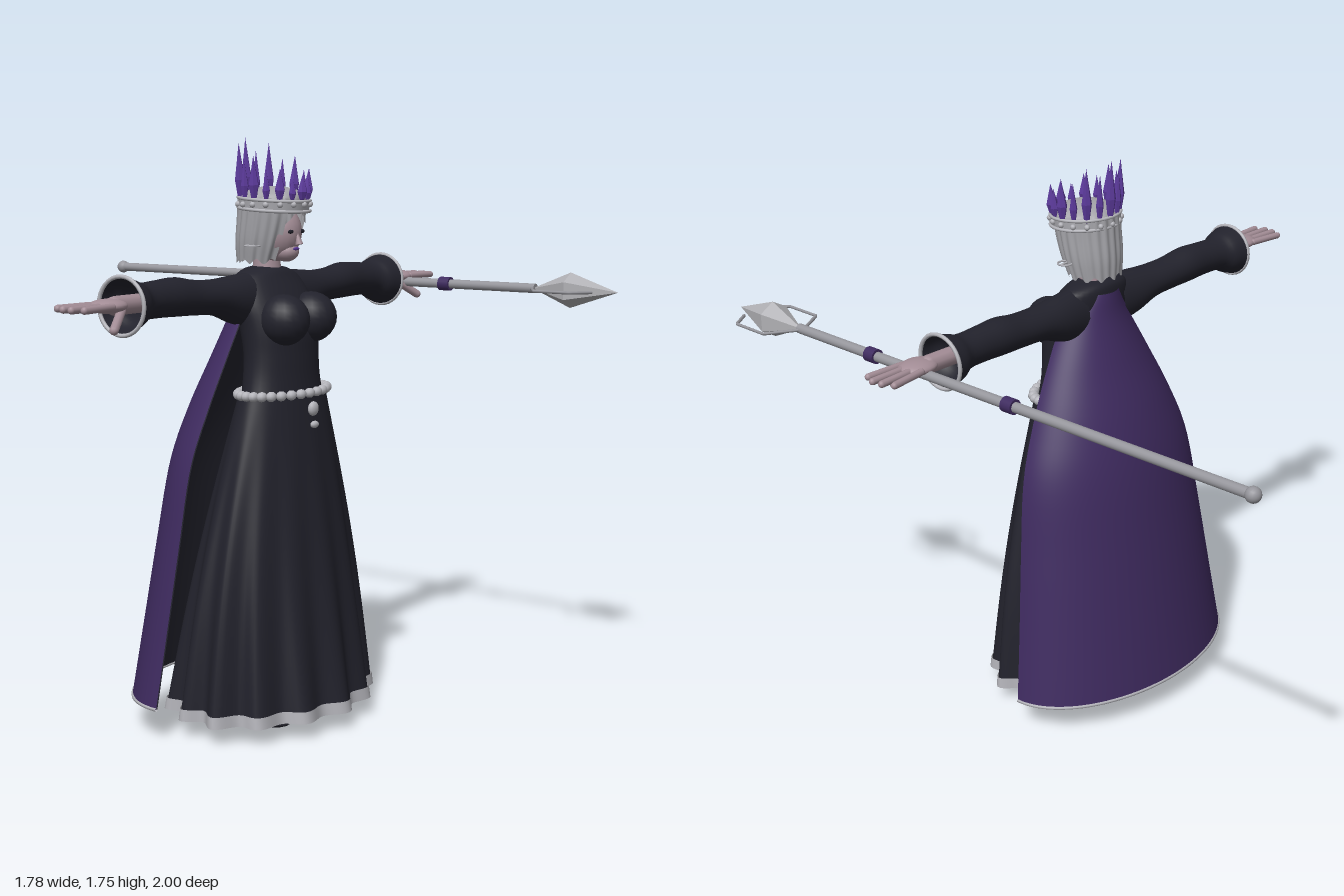
import * as THREE from 'three';

const mat = (name, color, extra = {}) => {
  const m = new THREE.MeshStandardMaterial({ color, ...extra });
  m.name = name;
  return m;
};

// Grid surface from a rule p(u, v) -> [x, y, z]; u runs around, v along
function surface(p, nu, nv, closed) {
  const pos = [], idx = [], cols = closed ? nu : nu + 1;
  for (let j = 0; j <= nv; j++)
    for (let i = 0; i < cols; i++) pos.push(...p(i / nu, j / nv));
  for (let j = 0; j < nv; j++)
    for (let i = 0; i < nu; i++) {
      const a = j * cols + i, b = j * cols + (i + 1) % cols;
      idx.push(a, a + cols, b, b, a + cols, b + cols);
    }
  const g = new THREE.BufferGeometry();
  g.setAttribute('position', new THREE.Float32BufferAttribute(pos, 3));
  g.setIndex(idx);
  g.computeVertexNormals();
  return g;
}

// Smooth interpolation through rows of numbers, v in 0..1
function rows(table) {
  return v => {
    const f = v * (table.length - 1), i = Math.min(Math.floor(f), table.length - 2), t = f - i;
    return table[i].map((p1, k) => {
      const p2 = table[i + 1][k];
      const p0 = i > 0 ? table[i - 1][k] : 2 * p1 - p2;
      const p3 = i + 2 < table.length ? table[i + 2][k] : 2 * p2 - p1;
      return p1 + 0.5 * t * (p2 - p0 + t * (2 * p0 - 5 * p1 + 4 * p2 - p3 + t * (3 * (p1 - p2) + p3 - p0)));
    });
  };
}

export function createModel() {
  const root = new THREE.Group();
  root.name = 'queenWithStaff';
  const D = { side: THREE.DoubleSide };
  const black = mat('dress black', 0x22222c, D);
  const purple = mat('cape purple', 0x3f2b60, D);
  const silver = mat('silver', 0xb4b4ba, D);
  const hairMat = mat('hair grey', 0xa3a3a8, D);
  const skin = mat('skin', 0xa38d96);
  const steel = mat('staff steel', 0x96969c);
  const crystal = mat('crystal violet', 0x5c3a9c, { flatShading: true });
  const gemMat = mat('gem grey', 0xb0b0b4, { flatShading: true });

  const add = (name, geo, m, x = 0, y = 0, z = 0, parent = root) => {
    const mesh = new THREE.Mesh(geo, m);
    mesh.name = name;
    mesh.position.set(x, y, z);
    parent.add(mesh);
    return mesh;
  };
  const ball = (name, m, x, y, z, rx, ry = rx, rz = rx, seg = 20) => {
    const b = add(name, new THREE.SphereGeometry(1, seg, Math.ceil(seg * 0.7)), m, x, y, z);
    b.scale.set(rx, ry, rz);
    return b;
  };
  // Round-ended rod between two points
  const rod = (name, m, a, b, r) => {
    const A = new THREE.Vector3(...a), B = new THREE.Vector3(...b), d = B.clone().sub(A);
    const c = A.clone().add(B).multiplyScalar(0.5);
    const mesh = add(name, new THREE.CapsuleGeometry(r, d.length(), 4, 10), m, c.x, c.y, c.z);
    mesh.quaternion.setFromUnitVectors(new THREE.Vector3(0, 1, 0), d.normalize());
    return mesh;
  };

  // Skirt: flared cone whose folds deepen towards the hem
  const skirtPoint = (y, u, grow) => {
    const k = (1 - y) / 0.95, t = u * Math.PI * 2;
    const fold = 1 + 0.062 * Math.pow(Math.max(k, 0), 1.3) * Math.cos(14 * (t - Math.PI / 2)) + 0.012 * k * Math.sin(5 * t);
    const rx = 0.18 + 0.18 * k + 0.035 * Math.sin(Math.PI * k) + grow;
    const rz = 0.095 + 0.168 * k + grow;
    return [rx * fold * Math.cos(t), y, 0.265 - 0.035 * k + rz * fold * Math.sin(t)];
  };
  add('skirt', surface((u, v) => skirtPoint(1 - 0.94 * v, u, 0), 168, 24, true), black);
  add('skirtHem', surface((u, v) => skirtPoint(0.085 - 0.035 * v, u, 0.005), 168, 2, true), silver);

  // Bodice: rows are y, half width, z centre, half depth
  const body = rows([[0.97, 0.17, 0.265, 0.092], [1.05, 0.152, 0.262, 0.09], [1.12, 0.146, 0.26, 0.09],
    [1.2, 0.15, 0.25, 0.095], [1.28, 0.157, 0.225, 0.085], [1.34, 0.135, 0.205, 0.068],
    [1.365, 0.085, 0.2, 0.055], [1.375, 0.03, 0.2, 0.03]]);
  add('bodice', surface((u, v) => {
    const [y, rx, zc, rz] = body(v), t = -u * Math.PI * 2;
    return [rx * Math.cos(t), y, zc + rz * Math.sin(t)];
  }, 40, 32, true), black);

  // Cape: rows are y, half width, front edge z, back z
  const capeRow = rows([[1.34, 0.06, 0.17, 0.125], [1.25, 0.13, 0.215, 0.112], [1.12, 0.205, 0.213, 0.07],
    [0.96, 0.285, 0.2, 0.01], [0.8, 0.345, 0.185, -0.033], [0.57, 0.38, 0.17, -0.07],
    [0.33, 0.413, 0.153, -0.105], [0.095, 0.447, 0.137, -0.138]]);
  const capePoint = (u, v, inset) => {
    const [y, hw, zf, zb] = capeRow(v), t = u * Math.PI;
    return [(hw - inset) * Math.cos(t), y, zf - (zf - zb - inset) * Math.sin(t)];
  };
  add('capeOutside', surface((u, v) => capePoint(u, v, 0), 48, 36), purple);
  add('capeLining', surface((u, v) => capePoint(u, v, 0.006), 48, 36), black);
  const hemPts = Array.from({ length: 25 }, (_, i) => new THREE.Vector3(...capePoint(i / 24, 1, 0.002)));
  add('capeHem', new THREE.TubeGeometry(new THREE.CatmullRomCurve3(hemPts), 64, 0.006, 6), silver);

  // Belt of beads with a pendant
  for (let i = 0; i < 28; i++) {
    const t = i / 28 * Math.PI * 2;
    ball('beltBead', silver, 0.183 * Math.cos(t), 1.003, 0.267 + 0.097 * Math.sin(t), 0.019, 0.015, 0.015, 10);
  }
  ball('pendantBead', silver, 0, 0.957, 0.378, 0.022, 0.022, 0.013, 12);
  ball('pendantDrop', silver, 0, 0.91, 0.383, 0.018, 0.011, 0.01, 10);

  // Sleeve rows: x, y centre, half height, z centre, half depth
  const sleeveRow = rows([[0.08, 1.275, 0.085, 0.205, 0.062], [0.17, 1.283, 0.07, 0.2, 0.062],
    [0.25, 1.294, 0.053, 0.197, 0.058], [0.34, 1.299, 0.051, 0.193, 0.056], [0.42, 1.306, 0.056, 0.19, 0.056],
    [0.5, 1.305, 0.053, 0.19, 0.052], [0.57, 1.302, 0.053, 0.19, 0.055], [0.61, 1.298, 0.068, 0.191, 0.073],
    [0.65, 1.296, 0.08, 0.192, 0.083]]);
  for (const s of [1, -1]) {
    ball('bust', black, s * 0.07, 1.222, 0.318, 0.074, 0.076, 0.08);
    add('sleeve', surface((u, v) => {
      const [x, yc, ry, zc, rz] = sleeveRow(v), t = u * Math.PI * 2;
      return [s * x, yc + ry * Math.sin(t), zc + rz * Math.cos(t)];
    }, 28, 36, true), black);
    const cuff = add('cuffTrim', new THREE.TorusGeometry(0.081, 0.006, 8, 32), silver, s * 0.653, 1.296, 0.192);
    cuff.rotation.y = Math.PI / 2;

    // Hand, palm down
    rod('wrist', skin, [s * 0.56, 1.3, 0.195], [s * 0.69, 1.3, 0.198], 0.027);
    ball('palm', skin, s * 0.725, 1.302, 0.205, 0.062, 0.02, 0.05);
    [[0.165, 0.15, 0.862], [0.191, 0.184, 0.878], [0.217, 0.217, 0.882], [0.243, 0.25, 0.868]].forEach(([z0, z1, x1]) =>
      rod('finger', skin, [s * 0.75, 1.303, z0], [s * x1, 1.302, z1], 0.0105));
    rod('thumb', skin, [s * 0.695, 1.288, 0.228], [s * 0.765, 1.243, 0.262], 0.013);

    // Legs and shoes
    add('leg', new THREE.CylinderGeometry(0.07, 0.035, 0.75, 16), black, s * 0.12, 0.4, 0.21);
    const shoe = ball('shoe', black, s * 0.125, 0.022, 0.26, 0.06, 0.022, 0.13);
    shoe.rotation.y = s * 0.06;

    // Face and ear details
    ball('eye', black, s * 0.028, 1.478, 0.312, 0.014, 0.006, 0.005, 10);
    rod('earBar', silver, [s * 0.05, 1.437, 0.225], [s * 0.113, 1.437, 0.225], 0.003);
    const ring = add('earRing', new THREE.TorusGeometry(0.022, 0.003, 6, 18), silver, s * 0.1, 1.437, 0.225);
    ring.rotation.x = Math.PI / 2;
  }

  // Head
  add('neck', new THREE.CylinderGeometry(0.036, 0.045, 0.09, 20), skin, 0, 1.39, 0.205);
  ball('head', skin, 0, 1.475, 0.235, 0.07, 0.088, 0.084, 24);
  ball('chin', skin, 0, 1.418, 0.275, 0.036, 0.03, 0.04);
  const nose = add('nose', new THREE.ConeGeometry(0.012, 0.045, 8), skin, 0, 1.462, 0.318);
  nose.rotation.x = -0.25;
  ball('lips', crystal, 0, 1.427, 0.312, 0.016, 0.005, 0.004, 10);

  // Bobbed hair in strands, open at the face, with a ribbed dome
  const hairRow = rows([[1.575, 0.098, 0.225, 0.103], [1.52, 0.097, 0.22, 0.101], [1.45, 0.094, 0.207, 0.093], [1.39, 0.084, 0.195, 0.078]]);
  add('hair', surface((u, v) => {
    const [y, rx, zc, rz] = hairRow(v), t = Math.PI / 2 + 0.5 + u * (Math.PI * 2 - 1);
    const f = 1 + 0.025 * Math.cos(u * Math.PI * 36);
    return [rx * f * Math.cos(t), y + 0.008 * v * Math.sin(u * 60), zc + rz * f * Math.sin(t)];
  }, 108, 10), hairMat);
  add('fringe', surface((u, v) => {
    const t = Math.PI / 2 + (u - 0.5) * 1.1, f = 1 + 0.02 * Math.cos(u * 30);
    return [0.095 * f * Math.cos(t), 1.575 - v * (0.03 + 0.045 * Math.abs(2 * u - 1)), 0.222 + 0.1 * f * Math.sin(t)];
  }, 24, 3), hairMat);
  add('hairDome', surface((u, v) => {
    const t = u * Math.PI * 2, a = v * Math.PI / 2, r = 0.099 * Math.cos(a) * (1 + 0.02 * Math.cos(18 * t));
    return [r * Math.cos(t), 1.57 + 0.04 * Math.sin(a), 0.227 + r * Math.sin(t)];
  }, 72, 10, true), hairMat);

  // Crown: silver band with crystals growing taller to the back
  const band = add('crownBand', new THREE.CylinderGeometry(0.108, 0.103, 0.03, 40, 1, true), silver, 0, 1.557, 0.231);
  band.rotation.x = 0.06;
  for (const dy of [-0.015, 0.015]) {
    const rim = add('crownRim', new THREE.TorusGeometry(0.107, 0.005, 8, 40), silver, 0, 1.557 + dy, 0.231);
    rim.rotation.x = Math.PI / 2 + 0.06;
  }
  for (let i = 0; i < 16; i++) {
    const t = i / 16 * Math.PI * 2 + Math.PI / 2, back = (1 - Math.sin(t)) / 2;
    const h = (0.085 + 0.105 * back) * (i % 2 ? 0.82 : 1), w = i % 2 ? 0.012 : 0.016;
    const pts = [[0, 0], [w * 0.5, 0.01], [w, h * 0.38], [w * 0.4, h * 0.75], [0, h]].map(p => new THREE.Vector2(...p));
    const spike = add('crownCrystal', new THREE.LatheGeometry(pts, 6), crystal, 0.1 * Math.cos(t), 1.562, 0.231 + 0.1 * Math.sin(t));
    spike.rotation.set(0.04 * Math.sin(t), 0, -0.04 * Math.cos(t));
    ball('crownStud', silver, 0.108 * Math.cos(t), 1.557, 0.231 + 0.108 * Math.sin(t), 0.009, 0.009, 0.009, 8);
  }

  // Staff, built upright and laid along z
  const staff = new THREE.Group();
  staff.name = 'staff';
  staff.position.set(0.725, 1.285, 0);
  staff.rotation.x = Math.PI / 2;
  root.add(staff);
  add('shaft', new THREE.CylinderGeometry(0.015, 0.015, 1.7, 16), steel, 0, -0.13, 0, staff);
  add('pommel', new THREE.SphereGeometry(0.022, 16, 12), steel, 0, -0.978, 0, staff);
  for (const y of [0.395, -0.155])
    add('staffBand', new THREE.CylinderGeometry(0.022, 0.022, 0.038, 16), purple, 0, y, 0, staff);
  const gemPts = [[0, 0.71], [0.055, 0.84], [0, 1]].map(p => new THREE.Vector2(...p));
  add('spearGem', new THREE.LatheGeometry(gemPts, 6), gemMat, 0, 0, 0, staff);
  for (const s of [1, -1]) {
    const path = new THREE.CurvePath();
    const c = [[0.01, 0.71], [0.1, 0.765], [0.1, 0.89], [0.04, 0.932]].map(([x, y]) => new THREE.Vector3(s * x, y, 0));
    for (let i = 0; i < 3; i++) path.add(new THREE.LineCurve3(c[i], c[i + 1]));
    add('spearFrame', new THREE.TubeGeometry(path, 40, 0.005, 6), steel, 0, 0, 0, staff);
  }
  return root;
}
